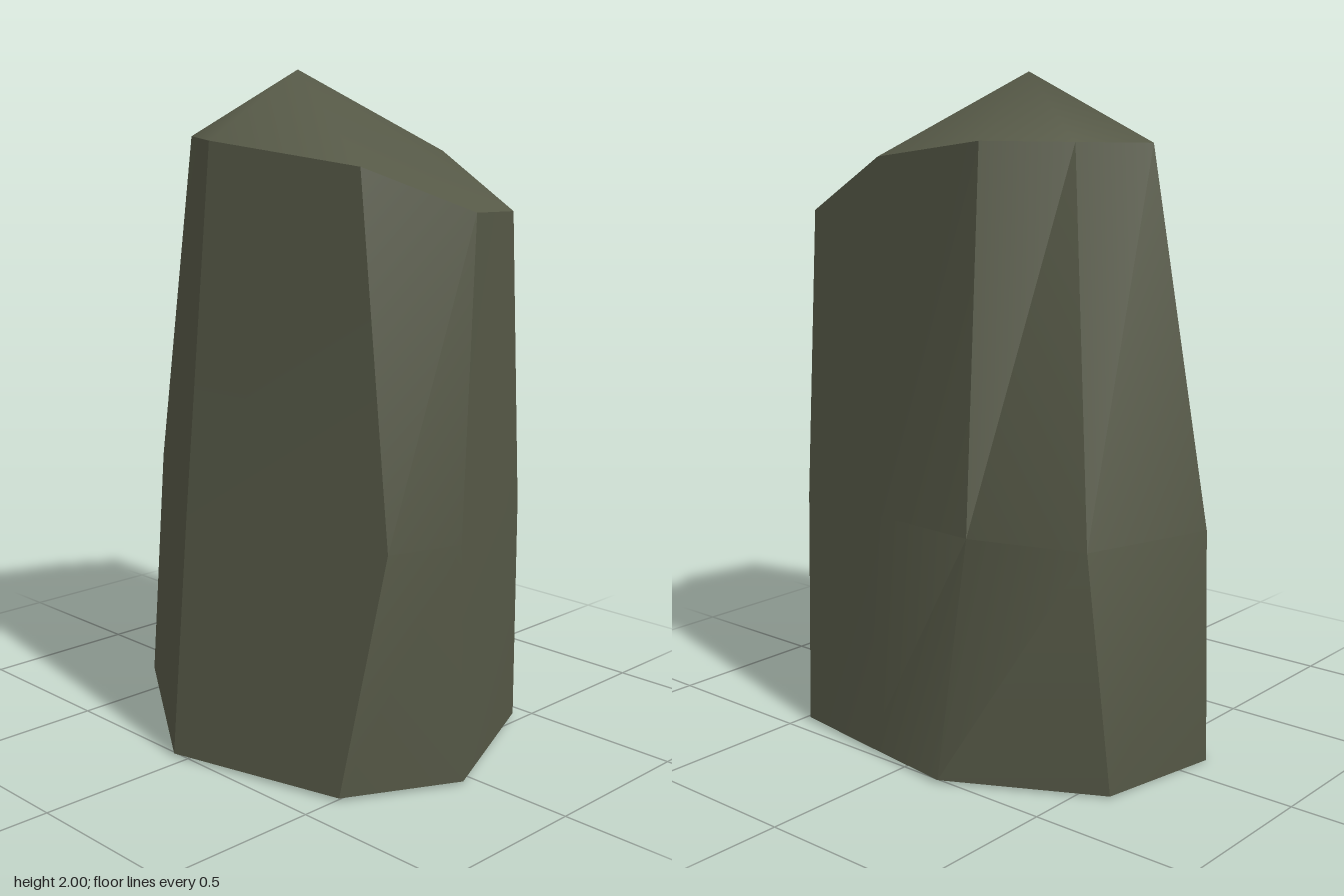
import * as THREE from 'three';
import { toCreasedNormals } from 'three/addons/utils/BufferGeometryUtils.js';

// Eight-sided rings, listed back -> -x -> front -> +x, each corner [x, y, z]
const base = [
  [-0.11, 0, -0.65], [-0.52, 0.01, -0.04], [-0.38, 0.01, 0.51], [-0.05, 0.01, 0.68],
  [0.44, 0.01, 0.47], [0.48, 0.01, 0.17], [0.52, 0.01, -0.15], [0.28, 0.005, -0.585],
];
const waist = [
  [-0.02, 0.73, -0.69], [-0.45, 0.72, -0.05], [-0.31, 0.72, 0.62], [-0.09, 0.72, 0.69],
  [0.39, 0.72, 0.505], [0.435, 0.72, 0.15], [0.48, 0.73, -0.23], [0.35, 0.72, -0.55],
];
const rim = [
  [-0.08, 1.8, -0.445], [-0.38, 1.8, -0.01], [-0.28, 1.74, 0.48], [0, 1.615, 0.645],
  [0.34, 1.595, 0.5], [0.37, 1.76, 0.2], [0.415, 1.81, -0.225], [0.17, 1.805, -0.36],
];
const apex = [0.03, 2, -0.08];

function meshGeometry(points, index) {
  const g = new THREE.BufferGeometry();
  g.setAttribute('position', new THREE.Float32BufferAttribute(points.flat(), 3));
  g.setIndex(index);
  g.computeVertexNormals();
  return g;
}

export function createModel() {
  const stone = new THREE.MeshStandardMaterial({ color: 0x565947, side: THREE.DoubleSide });
  stone.name = 'mossy stone';
  const group = new THREE.Group();
  group.name = 'stonePillar';
  const n = rim.length;

  // Walls: two bands joining the three rings, open underneath
  const wallIndex = [];
  for (let r = 0; r < 2; r++) {
    for (let i = 0; i < n; i++) {
      const a = r * n + i, b = r * n + (i + 1) % n;
      wallIndex.push(a, b, b + n, a, b + n, a + n);
    }
  }
  const wallGeometry = toCreasedNormals(meshGeometry([...base, ...waist, ...rim], wallIndex), 0.53);
  const walls = new THREE.Mesh(wallGeometry, stone);
  walls.name = 'pillarWalls';

  // Cap: smooth fan rising to an off-centre peak
  const capIndex = [];
  for (let i = 0; i < n; i++) capIndex.push(i, (i + 1) % n, n);
  const cap = new THREE.Mesh(meshGeometry([...rim, apex], capIndex), stone);
  cap.name = 'pillarCap';

  group.add(walls, cap);
  return group;
}
